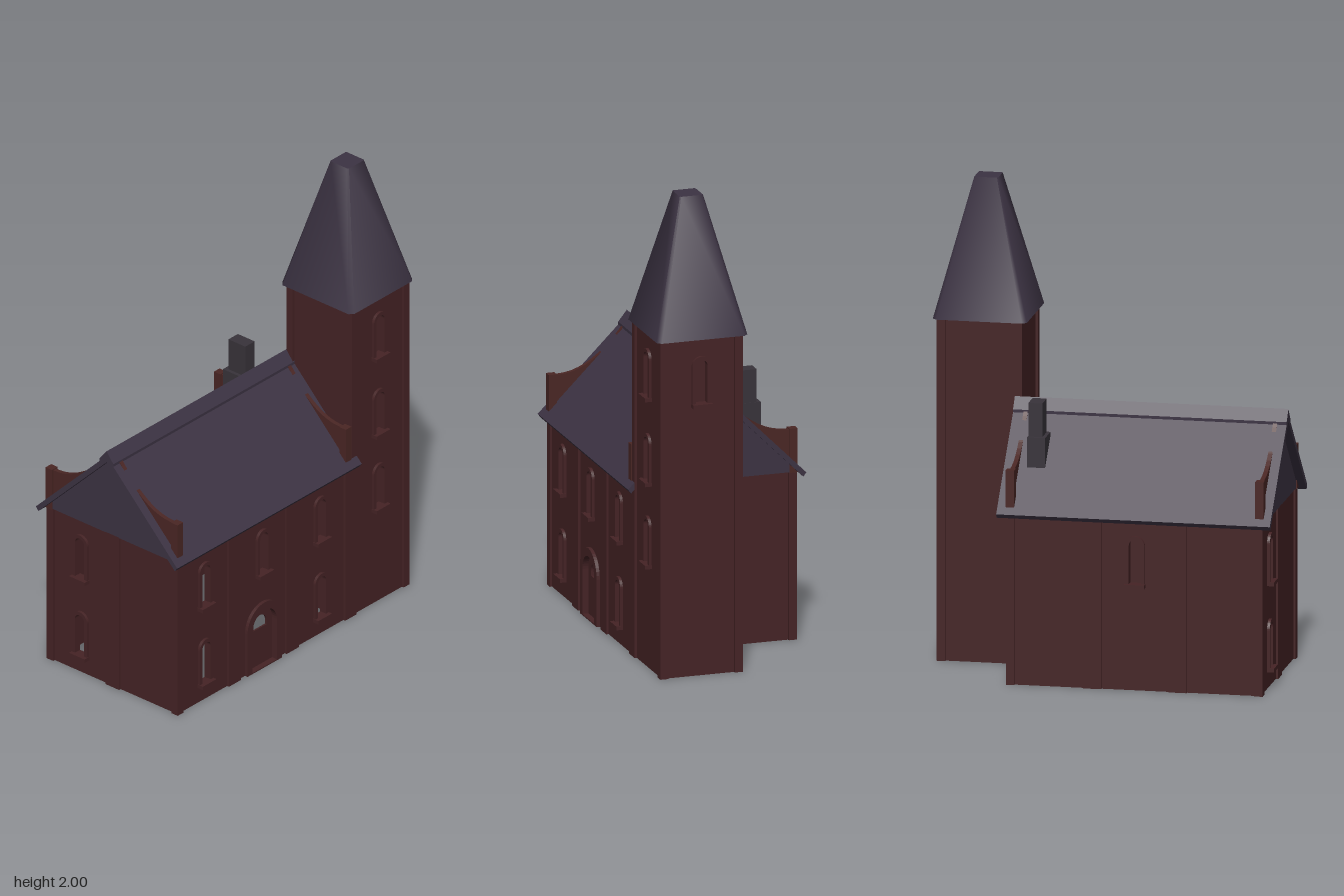
import * as THREE from 'three';
import { toCreasedNormals } from 'three/addons/utils/BufferGeometryUtils.js';

const material = (name, color) => {
  const m = new THREE.MeshStandardMaterial({ color });
  m.name = name;
  return m;
};

export function createModel() {
  const brick = material('dark red brick', 0x452325);
  const parapetBrick = material('parapet brick', 0x4a2624);
  const slate = material('purple slate', 0x3c3343);
  const stone = material('chimney stone', 0x38333a);
  const model = new THREE.Group();
  model.name = 'churchBuilding';

  const add = (parent, name, geometry, mat, x = 0, y = 0, z = 0) => {
    const mesh = new THREE.Mesh(geometry, mat);
    mesh.name = name;
    mesh.position.set(x, y, z);
    parent.add(mesh);
    return mesh;
  };
  const box = (parent, name, mat, x0, x1, y0, y1, z0, z1) =>
    add(parent, name, new THREE.BoxGeometry(x1 - x0, y1 - y0, z1 - z0), mat,
      (x0 + x1) / 2, (y0 + y1) / 2, (z0 + z1) / 2);
  const extrude = (shape, depth) =>
    new THREE.ExtrudeGeometry(shape, { depth, bevelEnabled: false, curveSegments: 10 });
  const polygon = (points) => new THREE.Shape(points.map(([x, y]) => new THREE.Vector2(x, y)));

  // Round-headed outline used for windows, frames and the door
  const arch = (x, w, y0, y1) => {
    const s = new THREE.Shape();
    s.moveTo(x - w / 2, y0);
    s.lineTo(x + w / 2, y0);
    s.lineTo(x + w / 2, y1 - w / 2);
    s.absarc(x, y1 - w / 2, w / 2, 0, Math.PI, false);
    s.closePath();
    return s;
  };

  // Wall facing +z at distance d, turned into place; coordinates run along the wall
  const T = 0.02;
  const wall = (name, turn, d, x0, x1, height, windows, pilasters, door) => {
    const g = new THREE.Group();
    g.name = name;
    g.rotation.y = turn;
    const shape = polygon([[x0, 0], [x1, 0], [x1, height], [x0, height]]);
    for (const [x, y] of windows) {
      shape.holes.push(arch(x, 0.05, y + 0.005, y + 0.19));
      const frame = arch(x, 0.08, y, y + 0.205);
      frame.holes.push(arch(x, 0.05, y + 0.005, y + 0.19));
      add(g, 'windowFrame', extrude(frame, 0.012), brick, 0, 0, d);
      box(g, 'windowSill', brick, x - 0.042, x + 0.042, y - 0.01, y + 0.006, d - 0.005, d + 0.029);
    }
    if (door !== undefined) {
      shape.holes.push(arch(door, 0.15, 0.005, 0.27));
      const frame = arch(door, 0.21, 0, 0.305);
      frame.holes.push(arch(door, 0.15, 0.005, 0.27));
      add(g, 'doorFrame', extrude(frame, 0.014), brick, 0, 0, d);
      const leaf = arch(door, 0.15, 0.005, 0.27);
      leaf.holes.push(arch(door, 0.08, 0.175, 0.235));
      add(g, 'door', extrude(leaf, 0.008), brick, 0, 0, d - T);
    }
    add(g, 'wallPanel', extrude(shape, T), brick, 0, 0, d - T);
    for (const [a, b] of pilasters) box(g, 'pilaster', brick, a, b, 0, height, d - T, d + 0.01);
    model.add(g);
  };

  // Nave walls
  const H = 0.715, q = Math.PI / 2;
  wall('naveFrontWall', 0, 0.345, -0.695, 0.365, H,
    [[-0.53, 0.08], [-0.53, 0.44], [-0.175, 0.44], [0.18, 0.08], [0.18, 0.44]],
    [[-0.705, -0.67], [-0.39, -0.315], [-0.035, 0.04], [0.325, 0.395]], -0.175);
  wall('naveBackWall', Math.PI, 0.345, -0.35, 0.695, H, [[0.175, 0.44]],
    [[-0.36, -0.325], [-0.04, 0.035], [0.315, 0.39], [0.67, 0.705]]);
  wall('naveRightEndWall', -q, 0.695, -0.345, 0.345, H, [[-0.175, 0.08], [-0.175, 0.44]],
    [[-0.355, -0.32], [-0.037, 0.037], [0.32, 0.355]]);
  wall('naveLeftEndWall', q, 0.35, -0.345, 0.345, H, [],
    [[0, 0.035], [0.32, 0.355]]);

  // Tower walls
  const TH = 1.435;
  wall('towerFrontWall', 0, 0.345, 0.37, 0.71, TH, [[0.54, 0.44], [0.54, 0.79], [0.54, 1.15]],
    [[0.365, 0.395], [0.685, 0.72]]);
  wall('towerLeftWall', q, 0.71, -0.345, -0.01, TH, [[-0.178, 1.15]],
    [[-0.355, -0.32], [-0.035, 0]]);
  wall('towerBackWall', Math.PI, -0.01, -0.71, -0.375, TH, [],
    [[-0.72, -0.685], [-0.395, -0.365]]);
  wall('towerRightWall', -q, -0.375, 0.01, 0.345, TH, [], [[0, 0.035], [0.32, 0.355]]);

  // Extrude a (z, y) profile along x
  const alongX = (name, shape, x0, x1, mat) => {
    const g = extrude(shape, x1 - x0);
    g.rotateY(-q);
    return add(model, name, g, mat, x1, 0, 0);
  };

  // Nave roof, ridge cap and gables
  alongX('naveRoof', polygon([[0.383, 0.717], [0, 1.1], [-0.383, 0.717], [-0.37, 0.7], [0, 1.07], [0.37, 0.7]]),
    -0.74, 0.395, slate);
  alongX('ridgeCap', polygon([[0.037, 1.06], [0.037, 1.075], [0, 1.122], [-0.037, 1.075], [-0.037, 1.06], [0, 1.09]]),
    -0.74, 0.395, slate);
  const gable = polygon([[0.357, 0.713], [0, 1.072], [-0.357, 0.713]]);
  alongX('gable', gable, -0.705, -0.685, slate);
  alongX('gable', gable, 0.34, 0.36, slate);

  // Curved parapets rising through the roof at both ends
  for (const x of [-0.692, 0.343]) {
    for (const s of [-1, 1]) {
      const p = new THREE.Shape();
      p.moveTo(s * 0.355, 0.72);
      p.lineTo(s * 0.355, 0.893);
      p.lineTo(s * 0.31, 0.893);
      p.quadraticCurveTo(s * 0.165, 0.895, s * 0.02, 1.09);
      p.lineTo(s * 0.02, 1.05);
      p.closePath();
      alongX('parapet', p, x - 0.009, x + 0.009, parapetBrick);
      const z = s * 0.34;
      box(model, 'parapetBlock', parapetBrick, x - 0.0175, x + 0.0175, 0.71, 0.897, z - 0.0175, z + 0.0175);
    }
  }

  // Chimney with a wider base
  box(model, 'chimneyBase', stone, 0.225, 0.3, 0.85, 1.005, -0.22, -0.105);
  box(model, 'chimneyStack', stone, 0.24, 0.298, 0.9, 1.145, -0.203, -0.112);

  // Tower spire: chamfered square tapering to a flat top
  const r = 0.195, c = 0.178;
  const spire = extrude(polygon([[r, -c], [r, c], [c, r], [-c, r], [-r, c], [-r, -c], [-c, -r], [c, -r]]), 1);
  spire.rotateX(-q);
  const pos = spire.attributes.position;
  for (let i = 0; i < pos.count; i++) {
    const t = pos.getY(i), k = 1 - 0.745 * t;
    pos.setXYZ(i, pos.getX(i) * k, 1.43 + 0.57 * t, pos.getZ(i) * k);
  }
  add(model, 'towerSpire', toCreasedNormals(spire, 0.95), slate, 0.54, 0, 0.176);

  return model;
}
